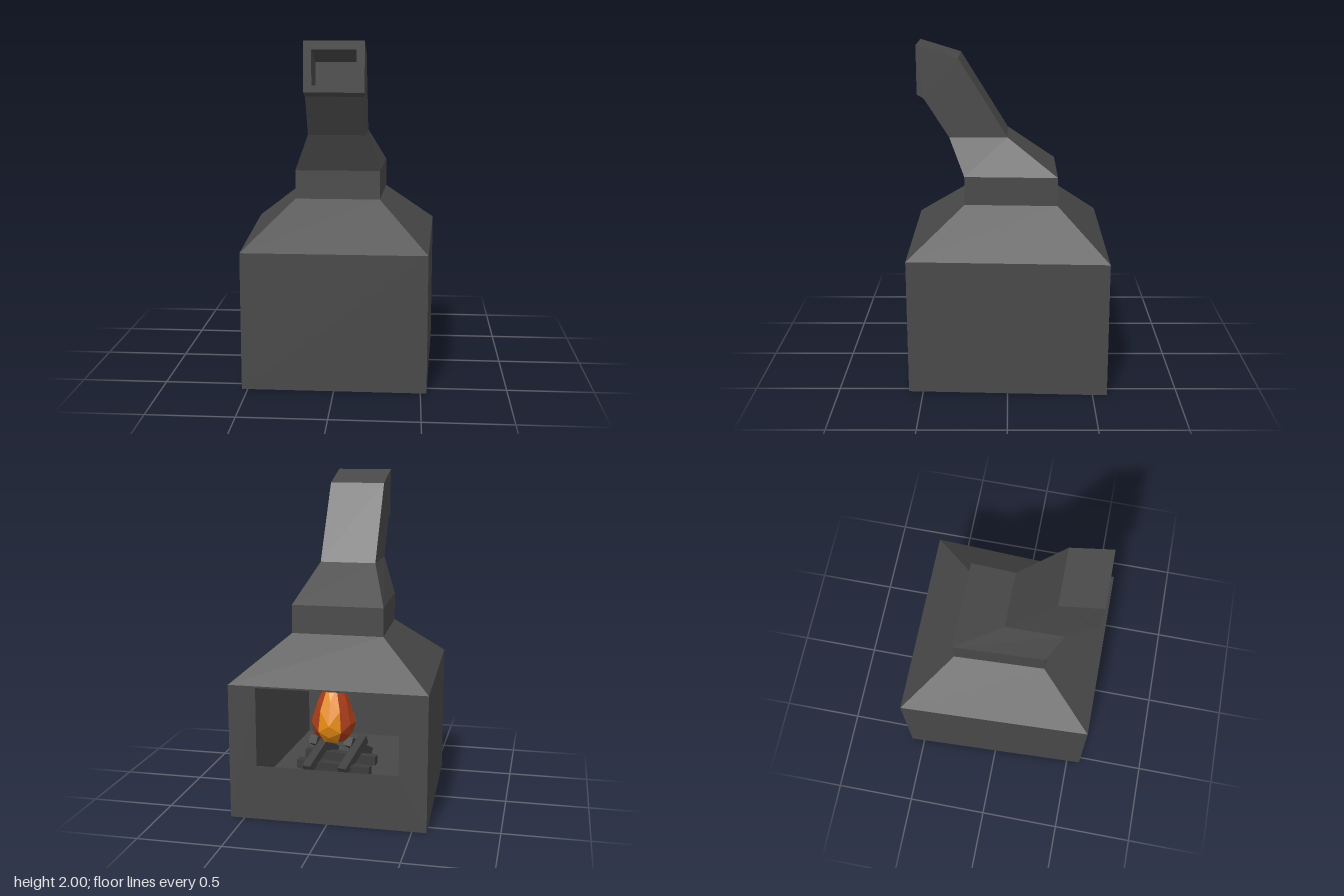
import * as THREE from 'three';

const material = (name, color) => {
  const m = new THREE.MeshStandardMaterial({ color, flatShading: true, side: THREE.DoubleSide });
  m.name = name;
  return m;
};

// Skins a stack of four-cornered rings: [half width, y, z] of the front edge, then of the back edge.
// skipBack lists the bands whose back side is left open.
function loft(sections, { capStart = true, capEnd = true, skipBack = [] } = {}) {
  const rings = sections.map(([xf, yf, zf, xb, yb, zb]) =>
    [[-xf, yf, zf], [xf, yf, zf], [xb, yb, zb], [-xb, yb, zb]]);
  const pos = [];
  const quad = (a, b, c, d) => pos.push(...a, ...b, ...c, ...a, ...c, ...d);
  for (let i = 0; i < rings.length - 1; i++) {
    for (let j = 0; j < 4; j++) {
      if (j === 2 && skipBack.includes(i)) continue;
      const k = (j + 1) % 4;
      quad(rings[i][j], rings[i][k], rings[i + 1][k], rings[i + 1][j]);
    }
  }
  if (capStart) quad(...[...rings[0]].reverse());
  if (capEnd) quad(...rings[rings.length - 1]);
  const g = new THREE.BufferGeometry();
  g.setAttribute('position', new THREE.Float32BufferAttribute(pos, 3));
  g.computeVertexNormals();
  return g;
}

export function createModel() {
  const model = new THREE.Group();
  model.name = 'fireplace';
  const iron = material('dark iron', 0x484848);
  const charcoal = material('charred wood', 0x3c3c3c);
  const ember = material('ember red', 0xa83c1a);
  const flameOrange = material('flame orange', 0xe58a12);

  const add = (name, geometry, mat, parent = model) => {
    const mesh = new THREE.Mesh(geometry, mat);
    mesh.name = name;
    parent.add(mesh);
    return mesh;
  };

  // Body, hood, collar and bent flue, ending in a recessed outlet
  add('bodyAndFlue', loft([
    [0.535, 0, 0.585, 0.585, 0, -0.585],
    [0.535, 0.81, 0.585, 0.585, 0.81, -0.585],
    [0.25, 1.07, 0.255, 0.275, 1.07, -0.295],
    [0.25, 1.24, 0.255, 0.275, 1.24, -0.295],
    [0.165, 1.46, 0.345, 0.17, 1.46, 0],
    [0.165, 1.69, 0.49, 0.17, 1.925, 0.285],
    [0.17, 1.715, 0.53, 0.17, 2, 0.53],
    [0.125, 1.755, 0.53, 0.125, 1.95, 0.53],
    [0.125, 1.68, 0.29, 0.125, 1.875, 0.29],
  ], { skipBack: [0] }), iron);

  // Back panel with the hearth opening
  const panel = new THREE.Shape([[-0.585, 0], [0.585, 0], [0.585, 0.81], [-0.585, 0.81]]
    .map(p => new THREE.Vector2(...p)));
  panel.holes.push(new THREE.Path([[-0.42, 0.33], [-0.42, 0.8], [0.42, 0.8], [0.42, 0.33]]
    .map(p => new THREE.Vector2(...p))));
  const back = add('hearthOpening', new THREE.ShapeGeometry(panel), iron);
  back.rotation.y = Math.PI;
  back.position.z = -0.585;

  // Hollow firebox, listed from the top down so its faces look inward
  add('fireboxLining', loft([
    [0.2, 1.22, 0.21, 0.22, 1.22, -0.25],
    [0.2, 1.06, 0.21, 0.22, 1.06, -0.25],
    [0.38, 0.8, 0.5, 0.42, 0.8, -0.58],
    [0.38, 0.21, 0.5, 0.42, 0.21, -0.58],
  ], { skipBack: [2] }), iron);

  // Square logs: a flat crossing layer with tilted logs leaning on it
  const logs = new THREE.Group();
  logs.name = 'logs';
  model.add(logs);
  const addLog = (from, to) => {
    const a = new THREE.Vector3(...from), b = new THREE.Vector3(...to);
    const log = add('log', new THREE.BoxGeometry(0.055, 0.055, a.distanceTo(b)), charcoal, logs);
    log.position.copy(a).add(b).multiplyScalar(0.5);
    log.lookAt(b);
  };
  for (const z of [-0.26, -0.06]) addLog([-0.2, 0.24, z - 0.03], [0.26, 0.24, z + 0.03]);
  for (const x of [-0.04, 0.18]) {
    addLog([x, 0.24, -0.34], [x - 0.08, 0.38, -0.1]);
    addLog([x - 0.08, 0.24, 0.06], [x, 0.38, -0.18]);
  }

  // Faceted flame, stretched upward and narrowed toward its tip
  const flame = new THREE.IcosahedronGeometry(0.14, 1);
  const p = flame.attributes.position;
  for (let i = 0; i < p.count; i++) {
    const x = p.getX(i), y = p.getY(i), z = p.getZ(i);
    const taper = y > 0 ? 1 - 3.2 * y : 1;
    const lift = y > 0 ? 1.95 : 1.05;
    p.setXYZ(i, x * taper, y * lift, z * taper);
  }
  flame.computeVertexNormals();
  // Vertical streaks alternate between the two fire colours
  for (let i = 0; i < p.count; i += 3) {
    const cx = p.getX(i) + p.getX(i + 1) + p.getX(i + 2);
    const cz = p.getZ(i) + p.getZ(i + 1) + p.getZ(i + 2);
    flame.addGroup(i, 3, Math.cos(3 * Math.atan2(cx, -cz)) > 0.35 ? 1 : 0);
  }
  add('flame', flame, [ember, flameOrange]).position.set(0.05, 0.51, -0.18);

  return model;
}
